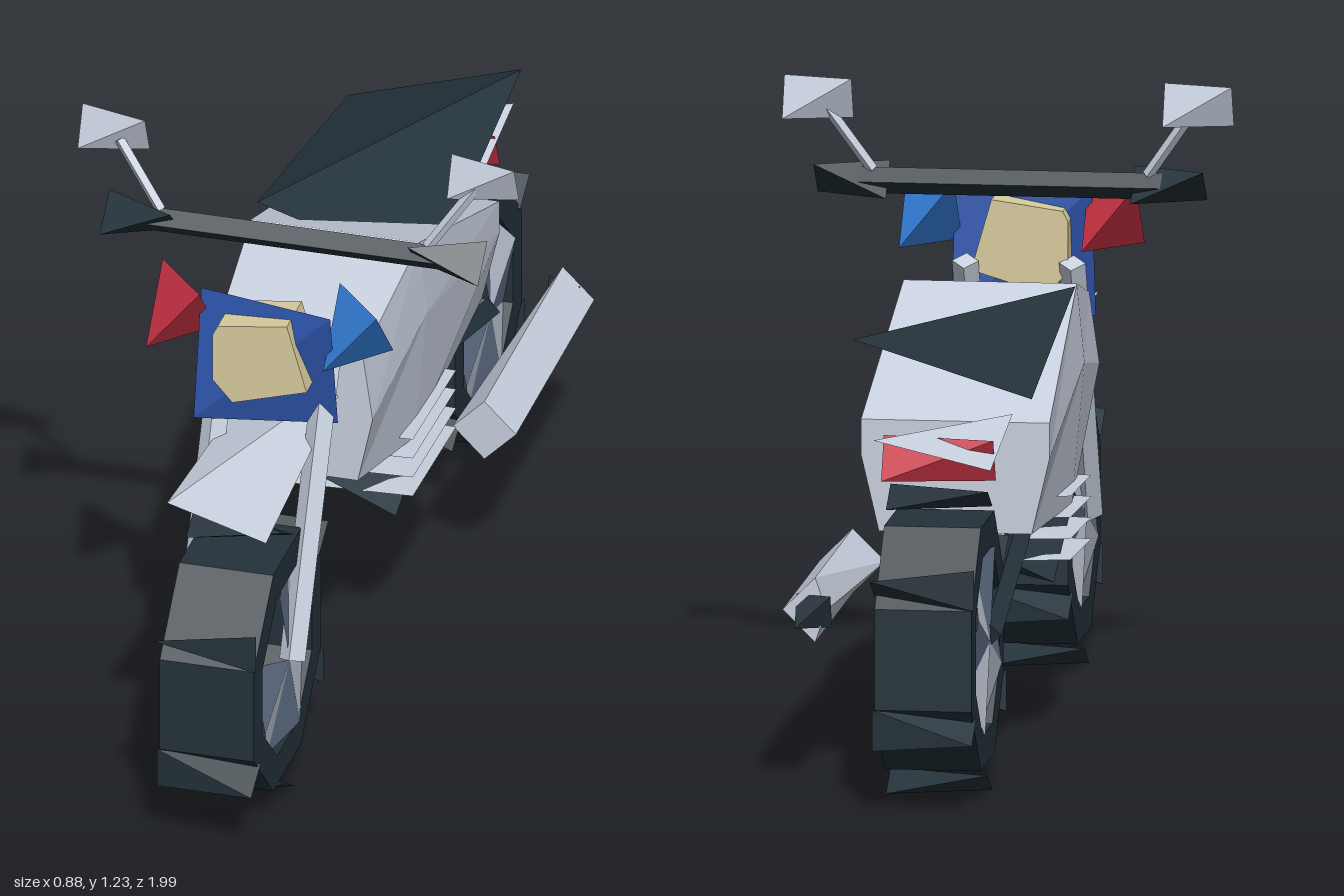
import * as THREE from 'three';

export function createModel() {
  const root = new THREE.Group();
  const mat = (name, color) => {
    const m = new THREE.MeshStandardMaterial({ color, flatShading: true, side: THREE.DoubleSide });
    m.name = name;
    return m;
  };
  const silver = mat('silver', 0xc8d0df), slate = mat('slate', 0x66748f), black = mat('black', 0x24323a);
  const red = mat('red', 0xcc3344), blue = mat('blue', 0x3480dc);
  const navy = mat('navy', 0x2d55ac), tan = mat('tan', 0xd9cc9e);

  const add = (name, geo, m, parent = root) => {
    const mesh = new THREE.Mesh(geo, m);
    mesh.name = name;
    parent.add(mesh);
    return mesh;
  };
  const facets = (points, index) => {
    const g = new THREE.BufferGeometry();
    g.setAttribute('position', new THREE.Float32BufferAttribute(points, 3));
    g.setIndex(index);
    const flat = g.toNonIndexed();
    flat.computeVertexNormals();
    return flat;
  };
  // Four-cornered wedge on alternate corners of a box; hand (+1 / -1) picks the corners
  const wedge = (x0, x1, y0, y1, z0, z1, hand = 1) => {
    const corners = [1, 1, 1, -1, -1, 1, -1, 1, -1, 1, -1, -1].map(v => v * hand);
    const index = [2, 1, 0, 0, 3, 2, 1, 3, 0, 2, 3, 1];
    if (hand < 0) index.reverse();
    return facets(corners, index)
      .scale((x1 - x0) / 2, (y1 - y0) / 2, (z1 - z0) / 2)
      .translate((x0 + x1) / 2, (y0 + y1) / 2, (z0 + z1) / 2);
  };
  // Four-sided rod between two points
  const rod = (a, b, r) => {
    const p = new THREE.Vector3(...a), q = new THREE.Vector3(...b);
    const dir = q.clone().sub(p);
    const g = new THREE.CylinderGeometry(r, r, dir.length(), 4);
    g.applyQuaternion(new THREE.Quaternion().setFromUnitVectors(new THREE.Vector3(0, 1, 0), dir.normalize()));
    return g.translate(...p.add(q).multiplyScalar(0.5).toArray());
  };

  // Wheels: octagonal tyre, two-tone pinwheel rim, six tread blocks
  const octagon = r => Array.from({ length: 8 }, (_, i) => {
    const a = (i + 0.5) * Math.PI / 4;
    return new THREE.Vector2(r * Math.cos(a), r * Math.sin(a));
  });
  const tyreShape = new THREE.Shape(octagon(0.26));
  tyreShape.holes.push(new THREE.Path(octagon(0.19)));
  // One colour of the pinwheel: every other sector, with the first left open
  const rimSectors = (side, parity) => {
    const pts = [side * 0.1, 0, 0], idx = [];
    octagon(0.19).forEach((p, i) => {
      const a = i + 1, b = (i + 1) % 8 + 1;
      pts.push(side * (i % 2 ? 0.1 : 0.075), p.y, p.x);
      if (i > 0 && i % 2 === parity) idx.push(0, ...(side > 0 ? [b, a] : [a, b]));
    });
    return facets(pts, idx);
  };
  for (const [name, z] of [['frontWheel', 0.72], ['rearWheel', -0.72]]) {
    const wheel = new THREE.Group();
    wheel.name = name;
    wheel.position.set(0, 0.3, z);
    root.add(wheel);
    const tyre = new THREE.ExtrudeGeometry(tyreShape, { depth: 0.19, bevelEnabled: false });
    add('tyre', tyre.translate(0, 0, -0.095).rotateY(Math.PI / 2), black, wheel);
    for (const s of [1, -1]) {
      add('rimLight', rimSectors(s, 0), silver, wheel);
      add('rimDark', rimSectors(s, 1), slate, wheel);
    }
    for (let i = 0; i < 6; i++) {
      const a = i * Math.PI / 3;
      const tread = add('tread', wedge(-0.1, 0.1, -0.02, 0.02, -0.035, 0.035), black, wheel);
      tread.position.set(0, 0.28 * Math.cos(a), 0.28 * Math.sin(a));
      tread.rotation.x = -a;
    }
  }

  // Body: six-sided sections [z, topY, midY, bottomY, topW, midW, bottomW]
  const sections = [
    [0.375, 0.80, 0.66, 0.52, 0.15, 0.17, 0.14],
    [0.04, 0.875, 0.72, 0.44, 0.17, 0.185, 0.16],
    [-0.48, 0.69, 0.62, 0.47, 0.185, 0.185, 0.15]
  ];
  const pts = [], idx = [];
  for (const [z, t, m, b, tw, mw, bw] of sections)
    pts.push(tw, t, z, -tw, t, z, -mw, m, z, -bw, b, z, bw, b, z, mw, m, z);
  for (let s = 0; s < 2; s++) for (let i = 0; i < 6; i++) {
    const j = (i + 1) % 6, a = s * 6, b = a + 6;
    idx.push(a + i, b + i, b + j, a + i, b + j, a + j);
  }
  for (let i = 1; i < 5; i++) idx.push(0, i, i + 1, 12, 12 + i + 1, 12 + i);
  add('body', facets(pts, idx), silver);

  // Seat and fenders
  add('seat', wedge(-0.175, 0.175, 0.77, 0.88, -0.67, -0.02, -1), black);
  add('frontFender', wedge(-0.1, 0.1, 0.65, 0.71, 0.3, 0.89, -1), silver);
  add('rearFender', wedge(-0.115, 0.115, 0.655, 0.71, -0.83, -0.5, -1), silver);
  add('tailLight', wedge(-0.11, 0.11, 0.615, 0.7, -0.75, -0.71), red);

  // Engine with cooling fins
  add('engine', wedge(-0.155, 0.155, 0.325, 0.46, -0.19, 0.155, -1), black);
  for (let i = 0; i < 4; i++) {
    const y = 0.36 + i * 0.042;
    add('coolingFin', wedge(-0.185, 0.185, y - 0.006, y + 0.006, -0.17, 0.14), silver);
  }

  // Exhaust: diamond pipe, its inner edge tapering to the rear
  const pipe = new THREE.CylinderGeometry(0.064, 0.064, 0.56, 4).rotateX(Math.PI / 2).translate(0.242, 0.355, -0.45);
  const pos = pipe.attributes.position;
  for (let i = 0; i < pos.count; i++)
    if (pos.getZ(i) < -0.5 && pos.getX(i) < 0.2) pos.setX(i, 0.22);
  add('exhaust', pipe, silver);
  add('exhaustTip', wedge(0.21, 0.28, 0.32, 0.385, -0.747, -0.72), black);

  // Paired parts
  for (const s of [1, -1]) {
    const span = (a, b) => (s > 0 ? [a, b] : [-b, -a]);
    add('fork', rod([s * 0.105, 0.3, 0.72], [s * 0.105, 0.84, 0.465], 0.026), silver);
    add('swingArm', rod([s * 0.095, 0.31, -0.71], [s * 0.095, 0.47, -0.14], 0.026), black);
    add('grip', wedge(...span(0.24, 0.382), 0.987, 1.052, 0.305, 0.372, -s), black);
    add('mirrorStem', rod([s * 0.27, 1.04, 0.335], [s * 0.36, 1.17, 0.31], 0.011), silver);
    add('mirror', wedge(...span(0.305, 0.441), 1.143, 1.225, 0.287, 0.322), silver);
    add('indicator', wedge(...span(0.125, 0.233), 0.865, 0.998, 0.45, 0.57), s > 0 ? blue : red);
  }
  add('handlebar', rod([-0.3, 1.018, 0.336], [0.3, 1.018, 0.336], 0.026), black);

  // Headlight on its mounting plate
  add('headlightPlate', wedge(-0.138, 0.138, 0.72, 0.98, 0.51, 0.565), navy);
  const lamp = new THREE.Shape([[-0.085, 0.94], [-0.095, 0.92], [-0.095, 0.82], [-0.055, 0.775], [0.095, 0.82], [0.055, 0.96]]
    .map(p => new THREE.Vector2(...p)));
  add('headlight', new THREE.ExtrudeGeometry(lamp, { depth: 0.108, bevelEnabled: false }).translate(0, 0, 0.474), tan);

  return root;
}
